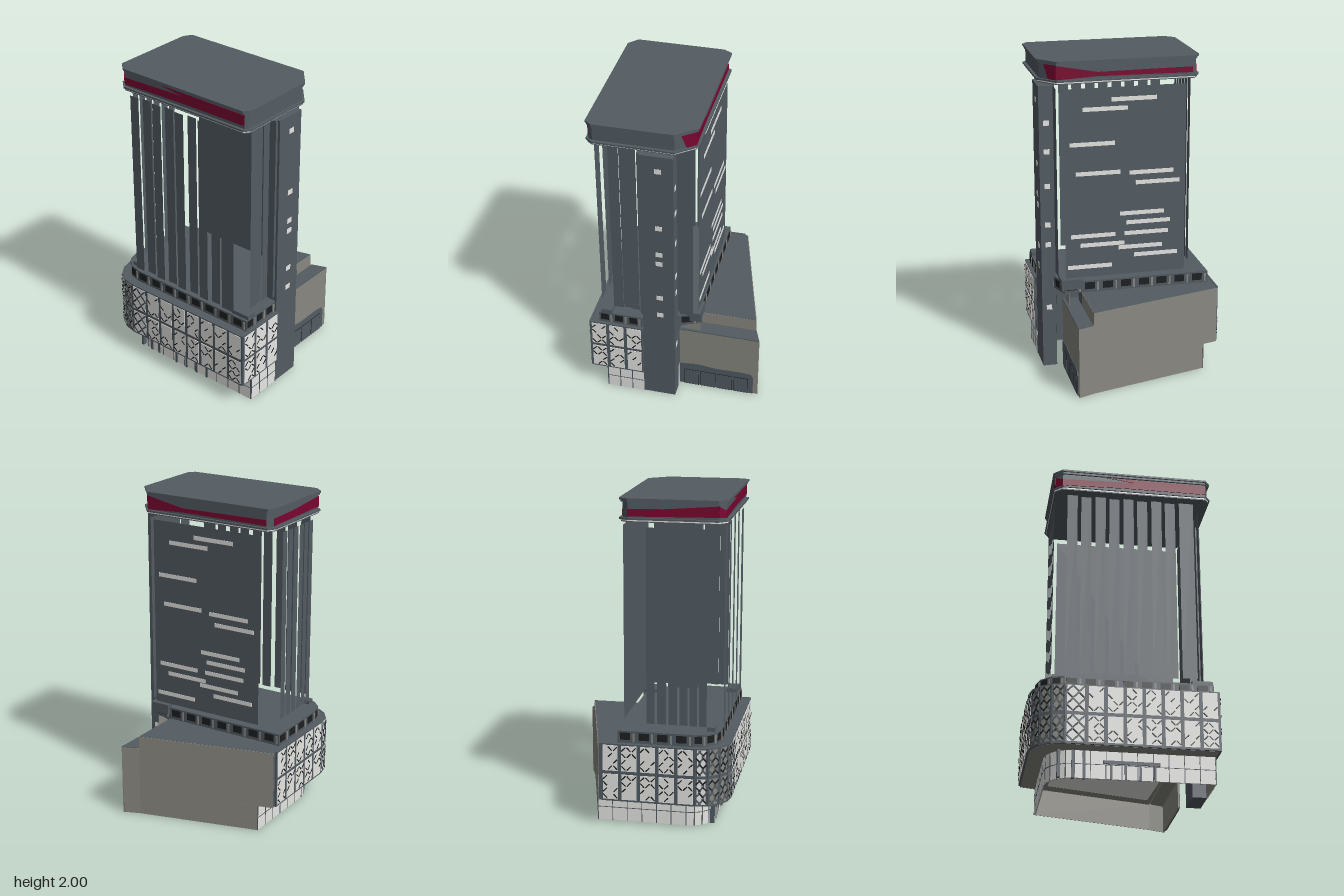
import * as THREE from 'three';
import { mergeGeometries } from 'three/addons/utils/BufferGeometryUtils.js';

const mat = (name, color) => {
  const m = new THREE.MeshStandardMaterial({ color });
  m.name = name;
  return m;
};

export function createModel() {
  const root = new THREE.Group();
  const slate = mat('slate cladding', 0x535c63);
  slate.side = THREE.DoubleSide;
  const light = mat('pale glass', 0xebebe8);
  const stone = mat('warm stone', 0x898881);
  const red = mat('crimson', 0x7a0530);
  const black = mat('black', 0x1d1f20);

  const add = (name, geo, m) => {
    const mesh = new THREE.Mesh(geo, m);
    mesh.name = name;
    root.add(mesh);
    return mesh;
  };
  // Box given by its limits
  const box = (name, m, x0, x1, y0, y1, z0, z1) =>
    add(name, new THREE.BoxGeometry(x1 - x0, y1 - y0, z1 - z0), m)
      .position.set((x0 + x1) / 2, (y0 + y1) / 2, (z0 + z1) / 2);
  // Plan outline of [x, z] points, raised from y0 to y1
  const plan = (pts) => pts.map(([x, z]) => new THREE.Vector2(x, -z));
  const slab = (name, m, pts, y0, y1, hole) => {
    const shape = new THREE.Shape(plan(pts));
    if (hole) shape.holes.push(new THREE.Path(plan(hole)));
    const g = new THREE.ExtrudeGeometry(shape, { depth: y1 - y0, bevelEnabled: false });
    add(name, g.rotateX(-Math.PI / 2).translate(0, y0, 0), m);
  };
  // Places geometry on a wall from p to q; local x runs along it, local z points outward
  const onWall = (g, p, q) =>
    g.rotateY(Math.atan2(p[1] - q[1], q[0] - p[0])).translate(p[0], 0, p[1]);
  const span = (p, q) => Math.hypot(q[0] - p[0], q[1] - p[1]);
  // Flat upright sheet from p to q
  const sheetGeo = (p, q, y0, y1) => {
    const L = span(p, q);
    return onWall(new THREE.PlaneGeometry(L, y1 - y0).translate(L / 2, (y0 + y1) / 2, 0), p, q);
  };
  // Outward walls and a roof, open below
  const shell = (name, m, pts, y0, y1) => {
    add(name + 'Walls', mergeGeometries(pts.map((p, i) => sheetGeo(p, pts[(i + 1) % pts.length], y0, y1))), m);
    add(name + 'Roof', new THREE.ShapeGeometry(new THREE.Shape(plan(pts))).rotateX(-Math.PI / 2).translate(0, y1, 0), m);
  };
  const plateGeo = (p, q, u, y, w, h, t = 0.008, off = 0, spin = 0) =>
    onWall(new THREE.BoxGeometry(w, h, t).rotateZ(spin).translate(u, y, off), p, q);
  const plate = (name, m, ...a) => add(name, plateGeo(...a), m);
  const ribbon = (name, m, p, q, pts) => {
    const shape = new THREE.Shape(pts.map(([u, y]) => new THREE.Vector2(u * span(p, q), y)));
    add(name, onWall(new THREE.ExtrudeGeometry(shape, { depth: 0.004, bevelEnabled: false }), p, q), m);
  };
  const arc = (cx, cz, r, n) => Array.from({ length: n + 1 }, (_, i) => {
    const a = (i / n) * Math.PI / 2;
    return [cx - r * Math.cos(a), cz + r * Math.sin(a)];
  });
  let seed = 7;
  const rnd = () => (seed = (seed * 16807) % 2147483647) / 2147483647;

  // Upper podium with its rounded front corner and a pale lobby ceiling
  const podium = [[0.535, 0.515], [0.535, 0.18], [0.44, 0.18], [0.44, -0.02], [0.295, -0.02],
    [0.295, -0.487], [-0.545, -0.262], ...arc(-0.36, 0.33, 0.185, 8)];
  const lobby = [[0.3, 0.25], [0.27, -0.4], [-0.38, -0.22], [-0.38, 0.15], [-0.25, 0.3]];
  shell('podium', slate, podium, 0.17, 0.53);
  slab('podiumSoffit', stone, podium, 0.166, 0.17, lobby);
  slab('lobbyCeiling', light, lobby, 0.167, 0.171);

  // Rear wing
  const bl = [-0.545, -0.264], bm = [0.295, -0.489], br = [0.4, -0.53], baseBack = [-0.45, -0.29];
  slab('sideWing', stone, [[0.4, -0.02], br, [0.305, -0.495], [0.305, -0.02]], 0.17, 0.447);
  slab('sideWingRoof', slate, [[0.4, -0.02], br, [0.305, -0.495], [0.305, -0.02]], 0.447, 0.453);
  plate('rearWall', stone, bm, bl, span(bl, bm) / 2, 0.347, span(bl, bm), 0.364, 0.004);
  plate('rearWallEnd', stone, br, bm, span(br, bm) / 2, 0.225, span(br, bm), 0.45, 0.004);
  plate('rearWallFoot', stone, bm, baseBack, span(bm, baseBack) / 2, 0.0825, span(bm, baseBack), 0.165, 0.004);
  plate('wingStepWall', stone, [0.297, -0.14], bm, 0.175, 0.36, 0.35, 0.335, 0.004);
  plate('sideFoot', stone, [0.396, -0.02], [0.396, -0.53], 0.255, 0.085, 0.51, 0.17);
  ribbon('stairFlank', stone, [0.38, -0.02], [0.38, -0.15], [[0, 0.45], [1, 0.45], [1, 0.53], [0.85, 0.53]]);
  // Service doors on a slate plinth
  const d0 = [0.4, -0.02], d1 = [0.4, -0.5];
  ribbon('servicePlinth', slate, d0, d1, [[0, 0], [1, 0], [1, 0.135], [0.97, 0.158], [0.85, 0.165], [0.5, 0.162], [0.25, 0.175], [0, 0.165]]);
  for (let i = 0; i < 4; i++) {
    plate('doorFrame', black, d0, d1, 0.08 + i * 0.107, 0.06, 0.096, 0.123, 0.002, 0.005);
    plate('serviceDoor', slate, d0, d1, 0.08 + i * 0.107, 0.059, 0.092, 0.118, 0.002, 0.006);
  }

  // Glazed ground floor, set back below the screens
  const base = [baseBack, ...arc(-0.29, 0.26, 0.16, 5), [0.53, 0.42], [0.53, 0.18]];
  for (let i = 0; i < base.length - 1; i++) {
    const p = base[i], q = base[i + 1], L = span(p, q), n = Math.max(1, Math.round(L / 0.09));
    plate('groundGlass', light, p, q, L / 2, 0.083, L, 0.166, 0.006);
    plate('groundLining', stone, p, q, L / 2, 0.083, L, 0.166, 0.003, -0.005);
    plate('groundTransom', slate, p, q, L / 2, 0.085, L, 0.004, 0.004, 0.003);
    for (let k = 0; k <= n; k++)
      plate('groundMullion', slate, p, q, (k / n) * L, 0.083, 0.005, 0.166, 0.004, 0.003);
  }
  for (const x of [-0.38, -0.3, -0.235])
    box('groundPillar', slate, x - 0.008, x + 0.008, 0, 0.166, 0.4, 0.426);
  const e0 = [-0.12, 0.423], e1 = [0.2, 0.423];
  plate('entranceBeam', slate, e0, e1, 0.16, 0.1, 0.33, 0.02, 0.009, 0.004);
  for (let i = 0; i < 4; i++) plate('entrancePost', slate, e0, e1, 0.04 + i * 0.085, 0.05, 0.012, 0.1, 0.009, 0.004);

  // Lattice screens wrapped round the podium, two rows of panels
  const screen = [];
  for (let i = 0; i < 5; i++) screen.push([-0.55, -0.245 + i * 0.115]);
  screen.push(...arc(-0.36, 0.33, 0.19, 4));
  for (let i = 0; i < 8; i++) screen.push([-0.235 + i * 0.111, 0.52]);
  for (let i = 1; i <= 3; i++) screen.push([0.542, 0.52 - i * 0.113]);
  const strokes = { dark: [], soft: [] };
  for (let i = 0; i < screen.length - 1; i++) {
    const p = screen[i], q = screen[i + 1], L = span(p, q), dense = i > 4 && i < 10;
    plate('screenFrame', slate, p, q, L / 2, 0.35, L, 0.365, 0.012);
    for (const y of [0.26, 0.443]) {
      plate('screenPanel', i > 5 && i < 9 ? stone : light, p, q, L / 2, y, L - 0.022, 0.162, 0.006, 0.006);
      for (let r = 0; r < 4; r++) for (let c = 0; c < 3; c++) {
        const u = L * (0.22 + 0.28 * c), v = y - 0.06 + r * 0.04;
        const s = (r + c) % 2 ? 1 : -1;
        if (dense) strokes.soft.push(plateGeo(p, q, u, v, 0.05, 0.01, 0.002, 0.01, s * 0.8));
        if (rnd() < 0.6)
          strokes.dark.push(plateGeo(p, q, u, v, 0.034, 0.007, 0.002, 0.012, s * 0.8));
      }
    }
  }
  add('screenLattice', mergeGeometries(strokes.dark), black);
  add('cornerLattice', mergeGeometries(strokes.soft), slate);

  // Recessed terrace storey with dark windows
  const terrace = [[-0.515, -0.15], ...arc(-0.36, 0.31, 0.155, 3), [0.525, 0.465], [0.525, 0.19], [0.41, -0.14]];
  shell('terrace', slate, terrace, 0.53, 0.605);
  terrace.forEach((p, i) => {
    const q = terrace[(i + 1) % terrace.length], L = span(p, q), n = Math.max(1, Math.round(L / 0.11));
    for (let k = 0; k < n; k++) {
      plate('terraceWindow', black, p, q, (k + 0.4) / n * L, 0.572, L / n * 0.55, 0.045, 0.006);
      plate('terracePost', stone, p, q, (k + 0.85) / n * L, 0.565, 0.012, 0.055, 0.008);
    }
  });
  box('terraceBlock', slate, 0.4, 0.525, 0.605, 0.63, 0.38, 0.45);
  box('terraceBlock', slate, -0.43, -0.37, 0.605, 0.63, 0.38, 0.43);
  box('rearLedge', slate, 0.3, 0.43, 0.56, 0.625, -0.16, -0.03);

  // Tower: separate facades of slender upright sheets, open at the corners
  const y0 = 0.632, y1 = 1.83, pitch = 0.0875;
  const sheet = (name, p, q) => add(name, sheetGeo(p, q, y0, y1), slate);
  for (let i = 0; i < 9; i++) {
    const x = -0.36 + i * pitch, z = 0.472 - (i % 2) * 0.012;
    sheet('frontFin', [x, z], [x + (i < 8 ? 0.064 : 0.09), z]);
  }
  for (const [a, b, x] of [[0.213, 0.265, 0.482], [0.265, 0.315, 0.474], [0.315, 0.378, 0.482]])
    sheet('rightFin', [x, b], [x, a]);
  for (const [a, b] of [[0.01, 0.06], [0.075, 0.13], [0.145, 0.198], [0.213, 0.262], [0.274, 0.32], [0.332, 0.378]])
    sheet('leftFin', [-0.43, a], [-0.43, b]);
  sheet('backWall', [0.4, -0.142], [-0.36, -0.142]);
  sheet('backReturnWall', [0.441, -0.02], [0.441, -0.115]);
  // Horizontal window slots scattered over the back, as [distance from right end, height]
  for (const [u, y] of [[0.14, 1.7], [0.32, 1.755], [0.06, 1.485], [0.095, 1.3], [0.43, 1.29], [0.47, 1.225], [0.37, 1.03],
    [0.06, 0.9], [0.41, 0.97], [0.4, 0.9], [0.12, 0.84], [0.36, 0.81], [0.04, 0.7], [0.46, 0.755]])
    plate('backWindow', light, [0.425, -0.142], [-0.36, -0.142], u + 0.14, y, 0.28, 0.026, 0.002, 0.0015);

  // Stair core from ground to crown
  box('stairCore', slate, 0.441, 0.53, 0, y1, -0.02, 0.18);
  box('coreEdgeFin', slate, 0.441, 0.515, y0, y1, 0.18, 0.198);
  for (const y of [1.73, 1.325, 1.13, 1.06, 0.795, 0.66])
    plate('coreWindow', light, [0.53, 0.18], [0.53, -0.02], 0.11, y, 0.042, 0.032, 0.004);
  for (const y of [1.6, 1.42, 1.2, 0.95, 0.82, 0.4])
    plate('coreRearWindow', light, [0.53, -0.02], [0.441, -0.02], 0.045, y, 0.035, 0.032, 0.004);

  // Crown with chamfered corners, rims and a crimson ribbon
  const crown = (e) => [[-0.4 - e, -0.135 - e], [0.44, -0.135 - e], [0.525 + e, -0.03], [0.525 + e, 0.45],
    [0.51, 0.475 + e], [-0.39, 0.475 + e], [-0.43 - e, 0.44], [-0.43 - e, -0.1]];
  slab('crownSoffit', slate, crown(0.008), 1.86, 1.866);
  slab('crownTrim', light, crown(0.01), 1.866, 1.874);
  slab('crownLowerRim', slate, crown(0.018), 1.874, 1.885);
  slab('crownBody', slate, crown(0), 1.885, 1.975);
  slab('crownUpperRim', slate, crown(0.01), 1.975, 1.988);
  slab('roof', slate, crown(0.018), 1.988, 2);
  const c = crown(0);
  ribbon('frontRibbon', red, c[5], c[4], [[0, 1.895], [0.45, 1.905], [1, 1.905], [1, 1.968], [0.3, 1.972], [0.5, 1.95], [0, 1.938]]);
  ribbon('cornerRibbon', red, c[2], c[1], [[0.55, 1.887], [1, 1.887], [1, 1.974], [0.3, 1.974]]);
  ribbon('backRibbon', red, c[1], c[0], [[0, 1.887], [0.3, 1.9], [1, 1.895], [1, 1.93], [0.3, 1.925], [0, 1.972]]);
  ribbon('leftRibbon', red, c[7], c[6], [[0, 1.892], [1, 1.9], [1, 1.965], [0.4, 1.94], [0, 1.935]]);
  ribbon('frontLeftRibbon', red, c[6], c[5], [[0, 1.9], [1, 1.895], [1, 1.938], [0, 1.965]]);

  return root;
}
